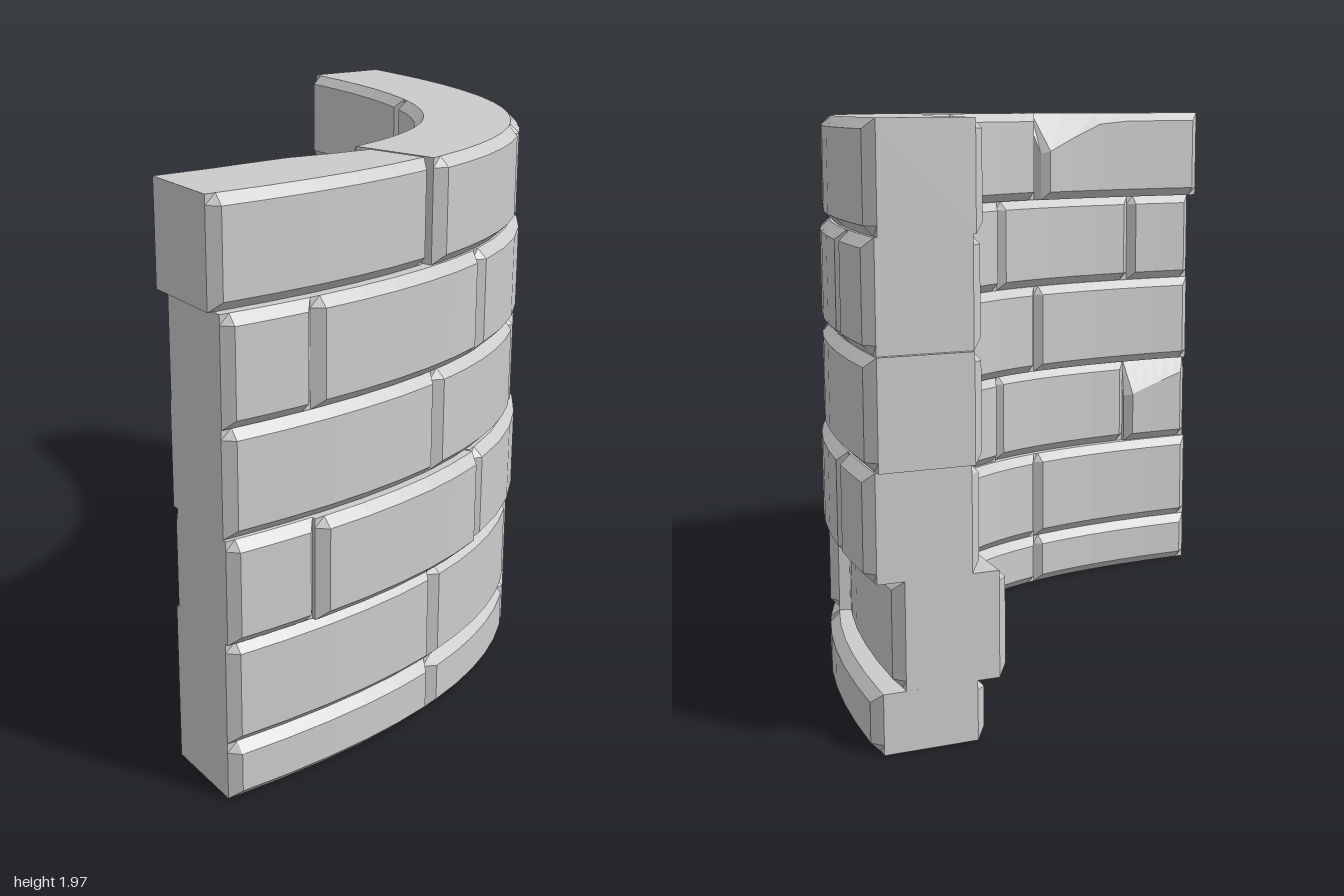
import * as THREE from 'three';

const HALF = 0.19;    // half of the wall thickness
const BEVEL = 0.033;  // chamfer on the brick edges
const SEGMENTS = 5;   // facets along one brick

// Plan of the wall's centre line (x, z), running from the left end round to the back
const path = new THREE.CubicBezierCurve(
  new THREE.Vector2(-0.97, 0.765), new THREE.Vector2(0.27, 0.765),
  new THREE.Vector2(0.775, 0.27), new THREE.Vector2(0.775, -0.98));

// One curved, chamfered brick between path parameters t0 and t1
function brickGeometry(t0, t1, y0, y1, { out = 0, chip = null } = {}) {
  const chord = path.getPoint(t0).distanceTo(path.getPoint(t1));
  const inset = Math.min(0.3, 0.03 / chord);
  const steps = [0];
  for (let i = 0; i <= SEGMENTS; i++) steps.push(inset + (1 - 2 * inset) * i / SEGMENTS);
  steps.push(1);
  const a = -HALF + out, b = HALF + out;
  const positions = [], index = [];

  steps.forEach((u, i) => {
    const t = t0 + (t1 - t0) * u;
    const p = path.getPoint(t), d = path.getTangent(t);
    const isEnd = i === 0 || i === steps.length - 1;
    // section as [outward offset, height]
    const section = [
      [a + BEVEL, y0], [b - BEVEL, y0], [b, y0 + BEVEL], [b, y1 - BEVEL],
      [b - BEVEL, y1], [a + BEVEL, y1], [a, y1 - BEVEL], [a, y0 + BEVEL]];
    if (isEnd) section.forEach(s => { s[0] = THREE.MathUtils.clamp(s[0], a + BEVEL, b - BEVEL); });
    if (chip) {
      // broken inner top corner, fading out along the brick
      const w = Math.max(0, 1 - Math.abs(u - chip.end) / chip.length);
      section[5][0] += chip.depth * w;
      section[6][1] -= chip.drop * w;
    }
    for (const [s, y] of section) positions.push(p.x - d.y * s, y, p.y + d.x * s);
  });

  const n = 8, last = (steps.length - 1) * n;
  for (let i = 0; i < steps.length - 1; i++) {
    for (let j = 0; j < n; j++) {
      const k = (j + 1) % n, r = i * n, q = r + n;
      index.push(r + j, q + j, q + k, r + j, q + k, r + k);
    }
  }
  for (let j = 1; j < n - 1; j++) {
    index.push(0, j, j + 1, last, last + j + 1, last + j);
  }
  const geometry = new THREE.BufferGeometry();
  geometry.setAttribute('position', new THREE.Float32BufferAttribute(positions, 3));
  geometry.setIndex(index);
  geometry.computeVertexNormals();
  return geometry;
}

export function createModel() {
  const wall = new THREE.Group();
  wall.name = 'curvedBrickWall';
  const material = new THREE.MeshStandardMaterial({ color: 0xcccccc, flatShading: true });

  // Joints of the two alternating brick patterns
  const wide = [0, 0.255, 0.5, 0.745, 1];
  const staggered = [0, 0.087, 0.34, 0.66, 0.913, 1];
  const heights = [0, 0.2, 0.555, 0.907, 1.263, 1.62, 1.97];
  const patterns = [wide, wide, staggered, wide, staggered, wide];
  const courseOut = [0.01, 0.01, 0.025, 0.01, 0.015, 0.005];

  // Loose, shifted and chipped bricks, keyed by course and brick
  const special = {
    '1-3': { shift: [-0.075, 0] },
    '2-0': { chip: { end: 1, length: 1.2, depth: 0.07, drop: 0.12 } },
    '2-1': { shift: [0, 0.015] },
    '3-3': { shift: [0.01, -0.02], chip: { end: 0, length: 0.3, depth: 0.1, drop: 0.2 } },
    '4-3': { chip: { end: 0, length: 0.5, depth: 0.08, drop: 0.2 } },
    '5-0': { shift: [-0.02, -0.025], chip: { end: 1, length: 0.45, depth: 0.1, drop: 0.13 } },
  };

  patterns.forEach((joints, c) => {
    const course = new THREE.Group();
    course.name = `course${c + 1}`;
    for (let k = 0; k < joints.length - 1; k++) {
      const { shift = [0, 0], chip } = special[`${c}-${k}`] ?? {};
      const geometry = brickGeometry(joints[k], joints[k + 1], heights[c], heights[c + 1],
        { out: courseOut[c], chip });
      const brick = new THREE.Mesh(geometry, material);
      brick.name = `brick${k + 1}`;
      brick.position.set(shift[0], 0, shift[1]);
      course.add(brick);
    }
    wall.add(course);
  });
  return wall;
}
